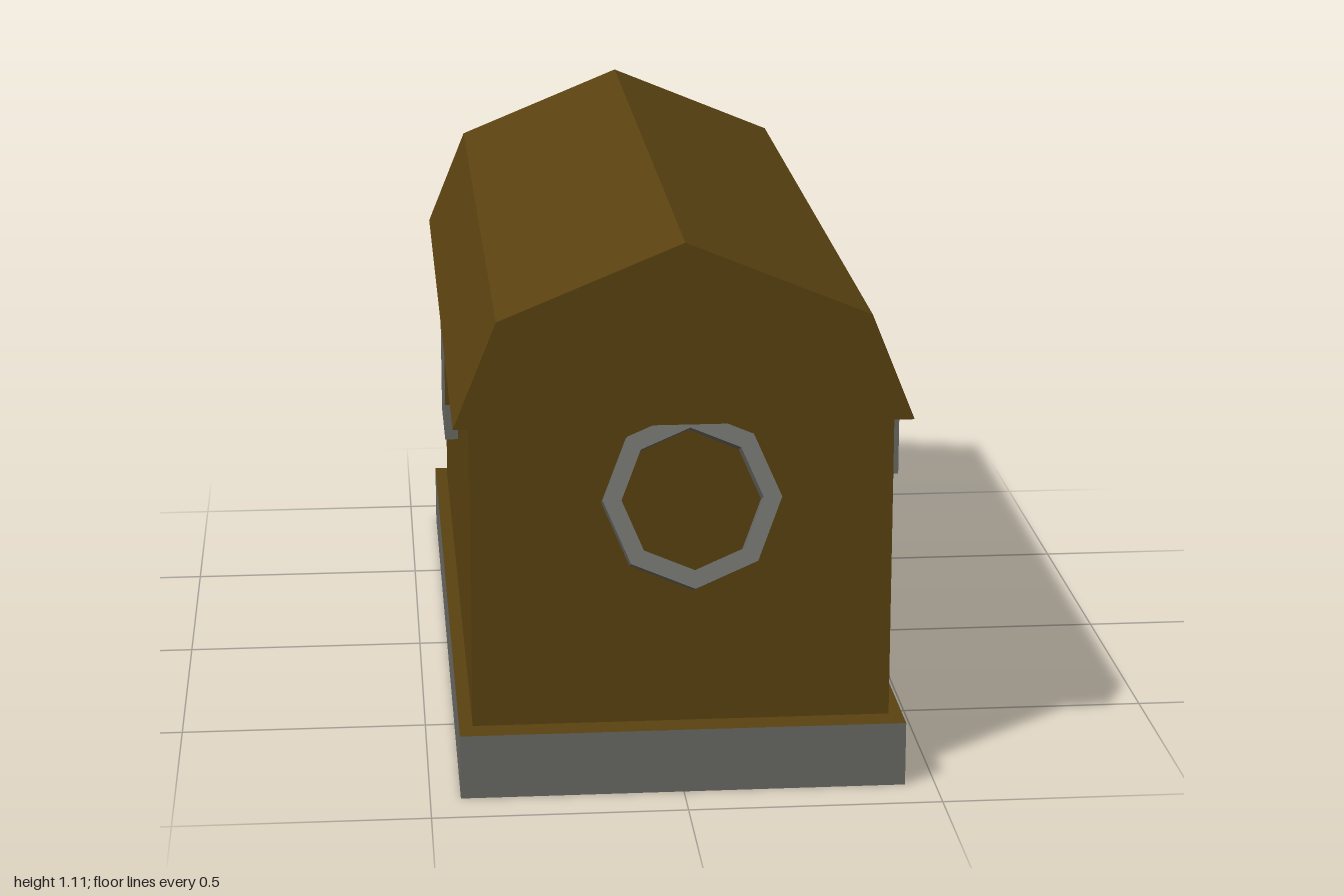
import * as THREE from 'three';

export function createModel() {
  const wood = new THREE.MeshStandardMaterial({ color: 0x5a4210 });
  wood.name = 'brown wood';
  const iron = new THREE.MeshStandardMaterial({ color: 0x686864 });
  iron.name = 'grey iron';

  const group = new THREE.Group();
  const add = (name, geometry, material, x = 0, y = 0, z = 0) => {
    const mesh = new THREE.Mesh(geometry, material);
    mesh.name = name;
    mesh.position.set(x, y, z);
    group.add(mesh);
    return mesh;
  };
  // box given by its lower and upper corners
  const addBox = (name, material, [x0, y0, z0], [x1, y1, z1]) =>
    add(name, new THREE.BoxGeometry(x1 - x0, y1 - y0, z1 - z0), material,
      (x0 + x1) / 2, (y0 + y1) / 2, (z0 + z1) / 2);

  // plinth: iron sides and bottom, wooden top face
  addBox('plinth', [iron, iron, wood, iron, iron, iron], [-0.44, 0, -0.895], [0.44, 0.13, 0.905]);
  addBox('body', wood, [-0.413, 0.13, -0.84], [0.413, 0.755, 0.85]);

  // lid: five-sided gable profile swept along z
  const profile = new THREE.Shape([
    [-0.445, 0.752], [0.445, 0.752], [0.36, 0.962], [0, 1.11], [-0.36, 0.962],
  ].map(([x, y]) => new THREE.Vector2(x, y)));
  add('lid', new THREE.ExtrudeGeometry(profile, { depth: 1.785, bevelEnabled: false }), wood, 0, 0, -0.887);

  // hinges on one long side, latch on the other
  for (const z of [-0.715, 0.72]) {
    addBox('hinge', iron, [0.41, 0.598, z - 0.033], [0.438, 0.753, z + 0.033]);
  }
  addBox('latch', iron, [-0.44, 0.503, -0.12], [-0.41, 0.753, 0.12]);
  addBox('latchInlay', wood, [-0.439, 0.58, 0.12], [-0.413, 0.715, 0.123]);

  // octagonal ring handles, leaning outwards at the bottom
  const octagon = (radius) => Array.from({ length: 8 }, (_, i) => {
    const a = (i * Math.PI) / 4;
    return new THREE.Vector2(radius * Math.cos(a), radius * Math.sin(a));
  });
  const ringShape = new THREE.Shape(octagon(0.173));
  ringShape.holes.push(new THREE.Path(octagon(0.137)));
  const ringGeometry = new THREE.ExtrudeGeometry(ringShape, { depth: 0.047, bevelEnabled: false });
  ringGeometry.translate(0, 0, -0.0235);
  for (const side of [1, -1]) {
    const ring = add('ringHandle', ringGeometry, iron, 0.012, 0.606, side * 0.914);
    ring.rotation.x = -side * 0.38;
  }

  return group;
}
